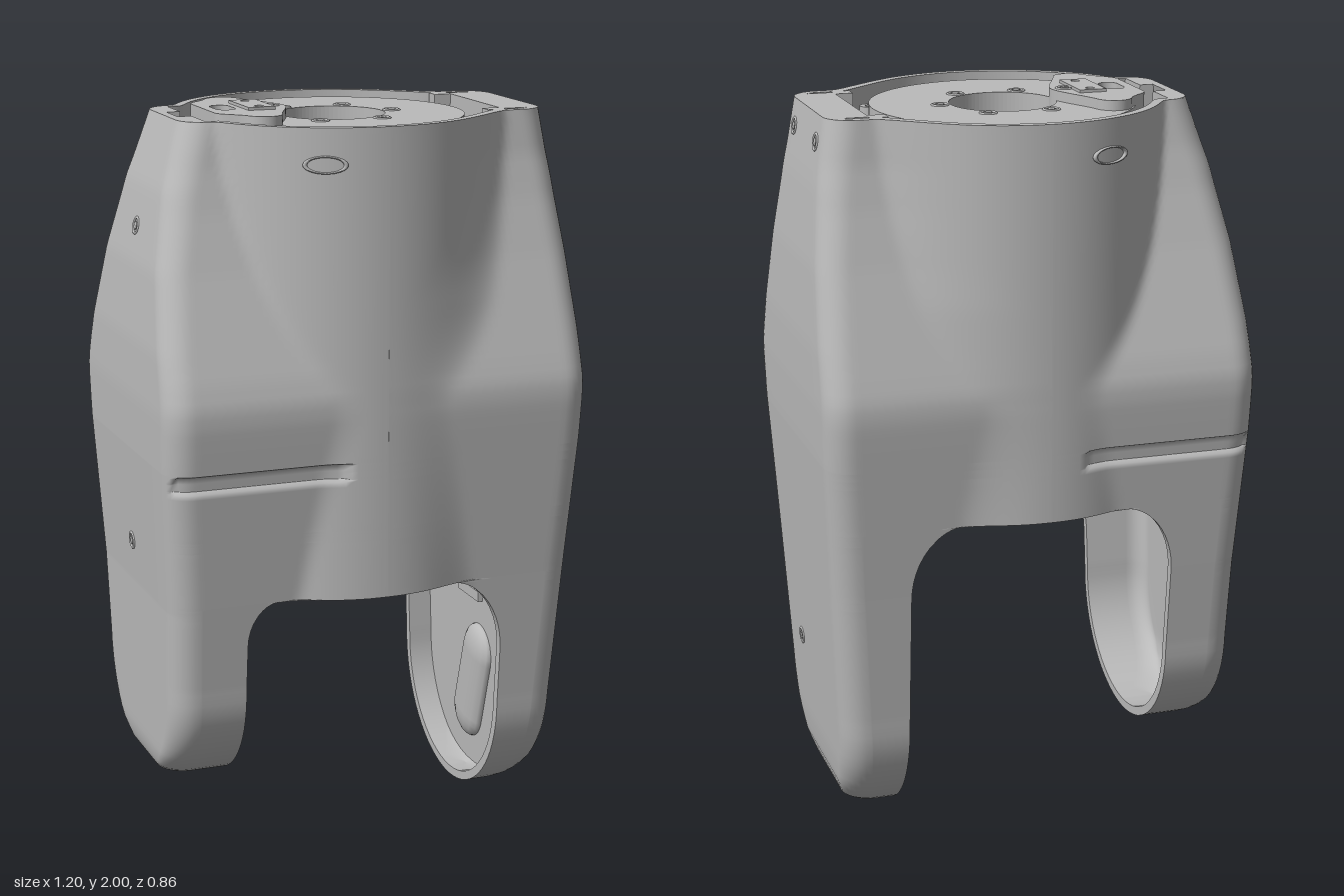
import * as THREE from 'three';

const TOP = 1.98, R = 0.43, T = 0.025;

// piecewise linear lookup in [y, value] pairs
function lerpTable(tab, y) {
  if (y <= tab[0][0]) return tab[0][1];
  for (let i = 1; i < tab.length; i++) {
    const [a, u] = tab[i - 1], [b, v] = tab[i];
    if (y <= b) return u + (v - u) * (y - a) / (b - a);
  }
  return tab[tab.length - 1][1];
}
// larger of two values with a fillet of size k
const smax = (a, b, k) => {
  const h = Math.max(k - Math.abs(a - b), 0) / k;
  return Math.max(a, b) + h * h * k / 4;
};

// each half: reach in x, half width in z, fillet, round leg end, front and back arch
const LEFT = {
  s: 1, y0: 0, yc: 0.34,
  reach: [[0, 0.45], [0.02, 0.485], [0.06, 0.515], [0.12, 0.537], [0.2, 0.547], [0.8, 0.58], [1.1, 0.597],
    [1.25, 0.6], [1.4, 0.597], [1.6, 0.585], [1.8, 0.563], [1.98, 0.535]],
  width: [[0.34, 0.335], [0.72, 0.367], [1.15, 0.409], [1.22, 0.415], [1.27, 0.413], [1.33, 0.396],
    [1.6, 0.31], [1.75, 0.268], [1.86, 0.243], [1.98, 0.228]],
  fillet: [[0.72, 0.04], [1.25, 0.025], [1.5, 0.09], [1.98, 0.13]],
  front: { top: 0.72, x: 0.2, h: 0.22 }, back: { top: 0.91, x: 0.22, h: 0.2 },
};
const RIGHT = {
  s: -1, y0: 0.15, yc: 0.47,
  reach: [[0.15, 0.49], [0.17, 0.535], [0.2, 0.558], [0.25, 0.57], [0.7, 0.577], [1.1, 0.598], [1.25, 0.6],
    [1.4, 0.594], [1.6, 0.573], [1.8, 0.532], [1.98, 0.475]],
  width: [[0.47, 0.34], [0.72, 0.367], [1.15, 0.409], [1.22, 0.415], [1.27, 0.413], [1.33, 0.396],
    [1.6, 0.295], [1.75, 0.245], [1.86, 0.214], [1.98, 0.19]],
  fillet: [[1.25, 0.012], [1.98, 0.03]],
  front: { top: 0.72, x: 0.28, h: 0.12 }, back: { top: 0.91, x: 0.22, h: 0.2 },
};

// how far the rounded leg end narrows the section at height y
const endScale = (p, y) => y < p.yc ? Math.sqrt(Math.max(0, 1 - ((p.yc - y) / (p.yc - p.y0)) ** 2)) : 1;

// x where the shell begins at height y, giving the arch between the legs
function archX(a, y) {
  if (y >= a.top) return 0;
  if (y > a.top - 0.002) return a.x * (a.top - y) / 0.002;
  const d = Math.max(0, (y - (a.top - a.h)) / a.h);
  return a.x + (0.37 - a.x) * Math.sqrt(Math.max(0, 1 - d * d));
}

function rowHeights(p) {
  const ys = [1.045, 1.051, 1.07, 1.089, 1.095];
  for (let i = 0; i < 16; i++) ys.push(p.yc - (p.yc - p.y0) * Math.cos(i / 16 * Math.PI / 2));
  for (let i = 0; i <= 70; i++) ys.push(p.yc + (TOP - p.yc) * i / 70);
  for (const a of [p.front, p.back])
    for (let i = 0; i <= 6; i++) ys.push(a.top - 0.002 * i / 6, a.top - 0.03 * i / 6);
  return ys.sort((a, b) => a - b);
}

// one cross-section from the front seam, around the side, to the back seam
function section(p, y, t) {
  const W = Math.max(0, (lerpTable(p.width, y) - t) * endScale(p, y));
  const X = lerpTable(p.reach, y) - t, c = Math.min(0.075 - t, W), k = lerpTable(p.fillet, y);
  const yOut = y < p.yc ? p.yc - (p.yc - y) * (p.yc - p.y0 - t) / (p.yc - p.y0) : y;
  const pts = [], n = 32, m = 8;
  const face = (x0, sign) => {
    const out = [];
    for (let i = 0; i <= n; i++) {
      const x = x0 + (X - c - x0) * i / n;
      const circle = Math.sqrt(Math.max(0, (R - t) ** 2 - x * x));
      out.push([x, sign * (y < p.yc ? W : smax(circle, W, k))]);
    }
    return out;
  };
  pts.push(...face(archX(p.front, y), 1));
  for (let i = 1; i <= m; i++) {
    const a = i / m * Math.PI / 2;
    pts.push([X - c + c * Math.sin(a), W - c + c * Math.cos(a)]);
  }
  for (let i = 1; i < m; i++) pts.push([X, (W - c) * (1 - 2 * i / m)]);
  for (let i = m; i >= 1; i--) {
    const a = i / m * Math.PI / 2;
    pts.push([X - c + c * Math.sin(a), -(W - c + c * Math.cos(a))]);
  }
  pts.push(...face(archX(p.back, y), -1).reverse());
  return pts.map(([x, z]) => {
    // long grooves on the right half
    if (p.s < 0 && !t && Math.abs(y - 1.07) < 0.02 && x > 0.11 && x < 0.575) z -= Math.sign(z) * 0.016;
    return [x * p.s, yOut, z];
  });
}

// surface through rows of equal length
function sheet(rows, flip) {
  const n = rows[0].length, idx = [];
  for (let r = 0; r < rows.length - 1; r++)
    for (let i = 0; i < n - 1; i++) {
      const a = r * n + i, b = a + 1, c = a + n, d = c + 1;
      if (flip) idx.push(a, c, b, b, c, d);
      else idx.push(a, b, c, b, d, c);
    }
  const g = new THREE.BufferGeometry();
  g.setAttribute('position', new THREE.Float32BufferAttribute(rows.flat(2), 3));
  g.setIndex(idx);
  g.computeVertexNormals();
  return g;
}

export function createModel() {
  const model = new THREE.Group();
  const grey = new THREE.MeshStandardMaterial({ color: 0xbababa, side: THREE.DoubleSide });
  grey.name = 'plain grey';
  const add = (name, geo, x = 0, y = 0, z = 0) => {
    const m = new THREE.Mesh(geo, grey);
    m.name = name;
    m.position.set(x, y, z);
    model.add(m);
    return m;
  };
  const box = (name, w, h, d, x, y, z) => add(name, new THREE.BoxGeometry(w, h, d), x, y, z);
  const extrude = (shape, depth) => new THREE.ExtrudeGeometry(shape, { depth, bevelEnabled: false, curveSegments: 40 });
  const slab = (name, shape, y, depth) => add(name, extrude(shape, depth).rotateX(-Math.PI / 2), 0, y, 0);
  const hole = (shape, x, y, r) => shape.holes.push(new THREE.Path().absarc(x, y, r, 0, Math.PI * 2, true));

  // shell halves: outside, inside and the edges joining them
  for (const p of [LEFT, RIGHT]) {
    const side = p.s > 0 ? 'left' : 'right', ys = rowHeights(p), flip = p.s < 0;
    const outer = ys.map(y => section(p, y, 0)), inner = ys.map(y => section(p, y, T));
    const last = outer[0].length - 1, top = ys.length - 1;
    add(side + 'ShellOutside', sheet(outer, flip));
    add(side + 'ShellInside', sheet(inner, !flip));
    add(side + 'FrontEdge', sheet(outer.map((r, i) => [inner[i][0], r[0]]), flip));
    add(side + 'BackEdge', sheet(outer.map((r, i) => [r[last], inner[i][last]]), flip));
    add(side + 'TopEdge', sheet([outer[top], inner[top]], flip));
    // shelf beside the mounting disc
    box(side + 'Shelf', 0.15, 0.04, 0.36, p.s * 0.445, 1.72, 0);
  }
  // thickened rim around the side pockets
  box('leftTopBlock', 0.092, 0.2, 0.38, 0.466, 1.88, 0);
  for (const z of [0.11, -0.11]) box('rightTopStep', 0.04, 0.18, 0.12, -0.432, 1.89, z);
  for (const z of [0.185, -0.185]) box('leftTopCorner', 0.05, 0.2, 0.04, 0.397, 1.88, z);

  // flat stops in front of and behind the disc
  for (const a of [Math.PI / 2, -Math.PI / 2]) {
    const stop = new THREE.Shape().absarc(0, 0, 0.41, a - 0.47, a + 0.47);
    stop.closePath();
    slab('discStop', stop, 1.78, 0.08);
  }

  // mounting disc with bore and cable slot
  const slot = () => {
    const s = new THREE.Path();
    s.absarc(-0.31, 0.025, 0.027, 0, Math.PI);
    s.absarc(-0.31, -0.025, 0.027, Math.PI, Math.PI * 2);
    s.closePath();
    return s;
  };
  const disc = new THREE.Shape().absarc(0, 0, 0.36, 0, Math.PI * 2);
  hole(disc, 0, 0, 0.145);
  disc.holes.push(slot());
  slab('mountingDisc', disc, 1.835, 0.13);
  const bolt = (name, x, y, z) => {
    const g = new THREE.Group();
    g.name = name;
    const ring = new THREE.Mesh(new THREE.TorusGeometry(0.021, 0.004, 8, 24), grey);
    const head = new THREE.Mesh(new THREE.CylinderGeometry(0.012, 0.012, 0.006, 6).rotateX(Math.PI / 2), grey);
    ring.name = 'boltRing';
    head.name = 'boltHead';
    g.add(ring, head);
    g.position.set(x, y, z);
    model.add(g);
    return g;
  };
  for (let i = 0; i < 6; i++) {
    const a = i * Math.PI / 3;
    bolt('discBolt', 0.175 * Math.cos(a), i === 3 ? 1.992 : 1.965, 0.175 * Math.sin(a)).rotation.x = -Math.PI / 2;
  }
  // corner ears of the disc
  for (const sx of [1, -1]) for (const sz of [1, -1]) {
    const ear = new THREE.Shape().absarc(sx * 0.32, sz * 0.185, 0.028, 0, Math.PI * 2);
    hole(ear, sx * 0.32, sz * 0.185, 0.013);
    slab('discEar', ear, 1.89, 0.05);
  }

  // raised connector plate
  const plate = new THREE.Shape();
  plate.moveTo(-0.137, 0);
  plate.bezierCurveTo(-0.137, 0.05, -0.19, 0.13, -0.205, 0.185);
  plate.bezierCurveTo(-0.22, 0.235, -0.28, 0.235, -0.3, 0.19);
  plate.bezierCurveTo(-0.32, 0.15, -0.365, 0.14, -0.365, 0.1);
  plate.lineTo(-0.365, -0.1);
  plate.bezierCurveTo(-0.365, -0.14, -0.32, -0.15, -0.3, -0.19);
  plate.bezierCurveTo(-0.28, -0.235, -0.22, -0.235, -0.205, -0.185);
  plate.bezierCurveTo(-0.19, -0.13, -0.137, -0.05, -0.137, 0);
  plate.holes.push(slot());
  slab('connectorPlate', plate, 1.9, 0.092);
  const pad = new THREE.Shape([[-0.265, -0.085], [-0.19, -0.085], [-0.19, 0.085], [-0.265, 0.085]]
    .map(v => new THREE.Vector2(...v)));
  for (const z of [0.06, -0.06]) hole(pad, -0.227, z, 0.012);
  slab('connectorPad', pad, 1.99, 0.01);

  // bolts on the outer sides
  for (const [s, y, z] of [[1, 1.91, 0.12], [1, 1.91, -0.12], [1, 0.445, 0.12], [-1, 1.69, 0], [-1, 0.82, 0]]) {
    const reach = v => lerpTable((s > 0 ? LEFT : RIGHT).reach, v);
    const slope = (reach(y + 0.02) - reach(y - 0.02)) / 0.04;
    bolt('sideBolt', s * reach(y), y, z).rotation.set(0, s * Math.PI / 2, s * Math.atan(-slope), 'ZYX');
  }
  // oval ports below the rim
  for (const s of [1, -1]) {
    const port = add('ovalPort', new THREE.TorusGeometry(0.053, 0.006, 8, 32), -0.165, 1.885, s * 0.398);
    port.scale.y = 0.4;
    port.rotation.y = -s * 0.4;
  }

  // panel closing the left leg, with a raised cover and bar
  const edge = [];
  for (let i = 0; i <= 35; i++) {
    const y = i < 20 ? 0.34 - 0.315 * Math.cos(i / 20 * Math.PI / 2) : 0.34 + (i - 20) * 0.04;
    edge.push(new THREE.Vector2((lerpTable(LEFT.width, y) - T) * endScale(LEFT, y), y));
  }
  const panel = new THREE.Shape([...edge, ...edge.map(v => new THREE.Vector2(-v.x, v.y)).reverse()]);
  add('leftInnerPanel', extrude(panel, 0.02).rotateY(Math.PI / 2), 0.44, 0, 0);
  const capsule = (name, r, len, x, y, z) => {
    const m = add(name, new THREE.CapsuleGeometry(r, len, 6, 16), x, y, z);
    m.scale.x = 0.4;
    return m;
  };
  capsule('leftInnerCover', 0.085, 0.2, 0.44, 0.29, 0.02).rotation.x = 0.3;
  box('leftInnerBar', 0.03, 0.03, 0.14, 0.44, 0.56, 0);

  // rib inside the right leg
  capsule('rightInnerRib', 0.035, 0.4, -0.55, 0.92, 0);
  return model;
}
